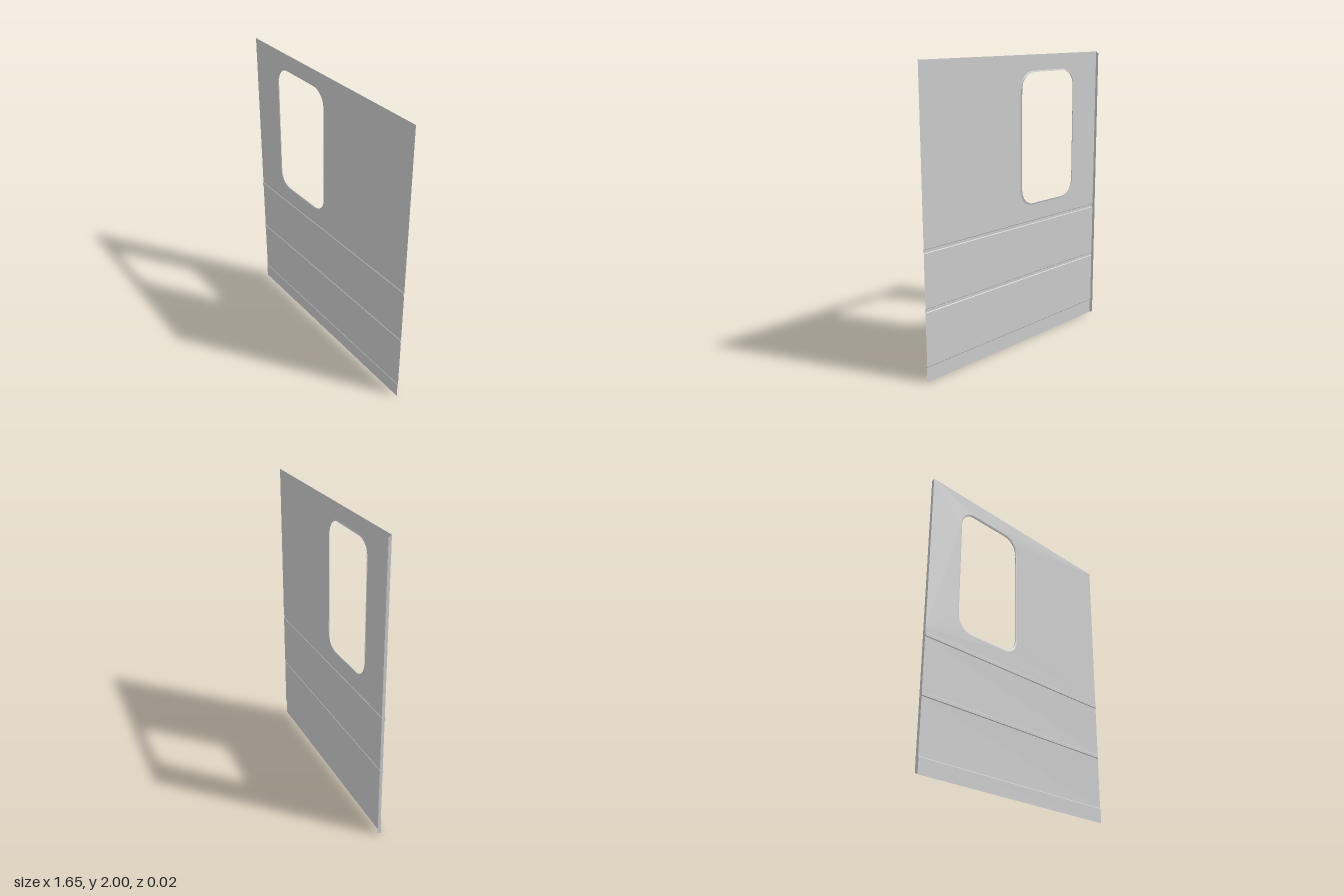
import * as THREE from 'three';

const HALF_W = 0.825; // half panel width
const SKIN_Z = 0.008; // plane of the main sheet
const PROUD_Z = 0.012; // plane of ribs and bottom strip

const material = new THREE.MeshStandardMaterial({ color: 0xcccccc, side: THREE.DoubleSide, flatShading: true });

// Rounded rectangle as a closed ring of points, counter-clockwise
function roundedRing(x0, x1, y0, y1, r, steps = 8) {
  const corners = [[x1 - r, y0 + r], [x1 - r, y1 - r], [x0 + r, y1 - r], [x0 + r, y0 + r]];
  const points = [];
  corners.forEach(([cx, cy], k) => {
    for (let i = 0; i <= steps; i++) {
      const a = (k - 1 + i / steps) * Math.PI / 2;
      points.push(new THREE.Vector2(cx + r * Math.cos(a), cy + r * Math.sin(a)));
    }
  });
  return points;
}

// Surface between consecutive rows of 3D points
function loft(rows) {
  const n = rows[0].length, index = [];
  for (let j = 0; j < rows.length - 1; j++) {
    for (let i = 0; i < n - 1; i++) {
      const a = j * n + i, b = a + n;
      index.push(a, a + 1, b, a + 1, b + 1, b);
    }
  }
  const geometry = new THREE.BufferGeometry().setFromPoints(rows.flat());
  geometry.setIndex(index);
  geometry.computeVertexNormals();
  return geometry;
}

export function createModel() {
  const group = new THREE.Group();
  const add = (name, geometry) => {
    const mesh = new THREE.Mesh(geometry, material);
    mesh.name = name;
    group.add(mesh);
    return mesh;
  };

  // Lower sheet: bottom strip and two pressed ribs in one profile (y, z)
  const profile = [[0, PROUD_Z], [0.1, PROUD_Z], [0.105, SKIN_Z]];
  for (const y of [0.463, 0.845]) {
    profile.push([y, SKIN_Z], [y + 0.004, PROUD_Z], [y + 0.023, PROUD_Z], [y + 0.027, SKIN_Z]);
  }
  profile.push([0.9, SKIN_Z]);
  add('lowerPanel', loft(profile.map(([y, z]) =>
    [-HALF_W, HALF_W].map((x) => new THREE.Vector3(x, y, z)))));

  // Upper sheet with the window opening
  const outer = roundedRing(-0.57, -0.025, 0.985, 1.895, 0.12);
  const inner = roundedRing(-0.56, -0.035, 0.995, 1.885, 0.11);
  const sheet = new THREE.Shape([[-HALF_W, 0.9], [HALF_W, 0.9], [HALF_W, 2], [-HALF_W, 2]]
    .map((p) => new THREE.Vector2(...p)));
  sheet.holes.push(new THREE.Path(outer));
  add('upperPanel', new THREE.ShapeGeometry(sheet)).position.z = SKIN_Z;

  // Window lip: sloped band, then a short return to the back
  const ring = (points, z) => [...points, points[0]].map((p) => new THREE.Vector3(p.x, p.y, z));
  add('windowLip', loft([ring(outer, SKIN_Z), ring(inner, 0.004), ring(inner, -0.001)]));

  // Folded flange along the right edge, following the profile and mitred at both ends
  const frontEdge = [...profile, [2, SKIN_Z]].map(([y, z]) => new THREE.Vector3(-HALF_W, y, z));
  const backEdge = frontEdge.map((p) =>
    new THREE.Vector3(-HALF_W, THREE.MathUtils.clamp(p.y, 0.012, 1.988), -0.012));
  add('sideFlange', loft([frontEdge, backEdge]));

  return group;
}
